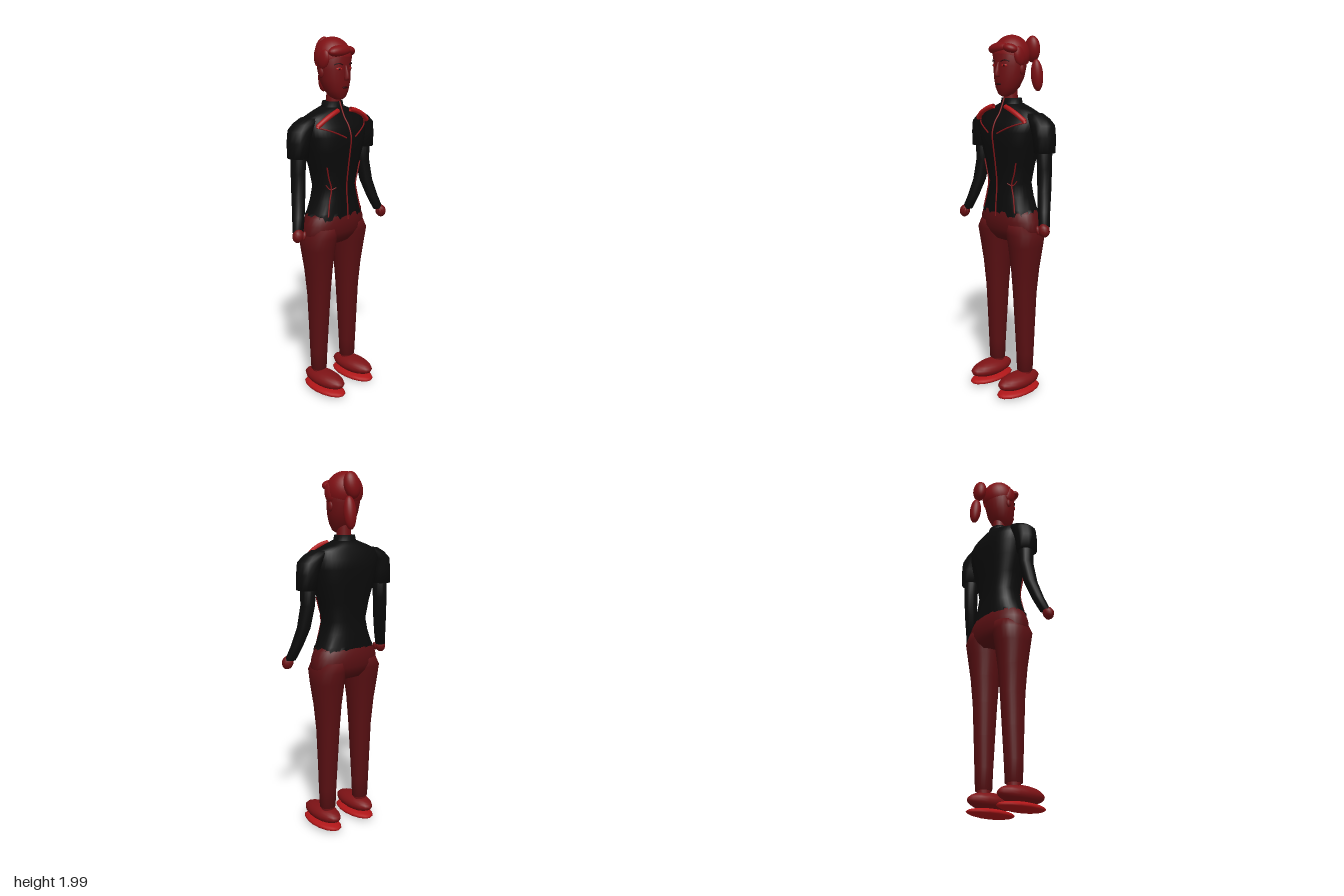
import * as THREE from 'three';

const mat = (name, color) => {
  const m = new THREE.MeshStandardMaterial({ color, side: THREE.DoubleSide });
  m.name = name;
  return m;
};

// Lofted body from horizontal rings, bottom to top: [y, cx, cz, rx, rz]
function loft(rings, { n = 24, p = 2, hem = null } = {}) {
  const pos = [], idx = [];
  const pw = (v) => Math.sign(v) * Math.abs(v) ** (2 / p);
  rings.forEach(([y, cx, cz, rx, rz], i) => {
    for (let j = 0; j < n; j++) {
      const a = (j / n) * Math.PI * 2;
      const yy = i === 0 && hem ? hem(j) : y;
      pos.push(cx + rx * pw(Math.cos(a)), yy, cz + rz * pw(Math.sin(a)));
    }
  });
  for (let i = 0; i < rings.length - 1; i++) {
    for (let j = 0; j < n; j++) {
      const a = i * n + j, b = i * n + ((j + 1) % n), c = a + n, d = b + n;
      idx.push(a, c, b, b, c, d);
    }
  }
  const top = (rings.length - 1) * n;
  const cap = ([y, cx, cz], base, up) => {
    const k = pos.length / 3;
    pos.push(cx, y, cz);
    for (let j = 0; j < n; j++) {
      const a = base + j, b = base + ((j + 1) % n);
      if (up) idx.push(k, b, a); else idx.push(k, a, b);
    }
  };
  if (!hem) cap(rings[0], 0, false);
  cap(rings[rings.length - 1], top, true);
  const g = new THREE.BufferGeometry();
  g.setAttribute('position', new THREE.Float32BufferAttribute(pos, 3));
  g.setIndex(idx);
  g.computeVertexNormals();
  return g;
}

const ellipsoid = (rx, ry, rz, w = 24, h = 16) => new THREE.SphereGeometry(1, w, h).scale(rx, ry, rz);

function tube(points, r, seg = 24) {
  const curve = new THREE.CatmullRomCurve3(points.map((q) => new THREE.Vector3(...q)));
  return new THREE.TubeGeometry(curve, seg, r, 8);
}

// Jacket rings: height, half width, front z, back z
const TORSO = [
  [1.03, 0.182, 0.092, -0.118], [1.085, 0.168, 0.09, -0.116], [1.15, 0.142, 0.084, -0.11],
  [1.22, 0.126, 0.08, -0.105], [1.32, 0.148, 0.09, -0.115], [1.42, 0.18, 0.104, -0.13],
  [1.5, 0.196, 0.112, -0.136], [1.55, 0.202, 0.092, -0.132], [1.595, 0.19, 0.06, -0.11],
  [1.62, 0.13, 0.048, -0.098], [1.643, 0.065, 0.038, -0.082],
].map(([y, rx, f, b]) => [y, 0, (f + b) / 2, rx, (f - b) / 2]);
const TORSO_POWER = 2.5;

// Front surface of the jacket at (x, y)
function onFront(x, y, lift = 0.004) {
  let i = 0;
  while (i < TORSO.length - 2 && TORSO[i + 1][0] < y) i++;
  const A = TORSO[i], B = TORSO[i + 1];
  const t = THREE.MathUtils.clamp((y - A[0]) / (B[0] - A[0]), 0, 1);
  const [, , cz, rx, rz] = A.map((v, k) => v + (B[k] - v) * t);
  const u = Math.min(1, Math.abs(x) / rx);
  return [x, y, cz + rz * (1 - u ** TORSO_POWER) ** (1 / TORSO_POWER) + lift];
}

export function createModel() {
  const black = mat('jacketBlack', 0x0b0b0b);
  const trouserRed = mat('trouserRed', 0x580f12);
  const skinRed = mat('skinRed', 0x6e1013);
  const hairRed = mat('hairRed', 0x7e1014);
  const shoeRed = mat('shoeRed', 0x7c1215);
  const brightRed = mat('brightRed', 0xb01618);
  const pipingRed = mat('pipingRed', 0x7d1216);
  const darkRed = mat('featureDark', 0x2c0608);

  const model = new THREE.Group();
  const add = (name, geo, material, x = 0, y = 0, z = 0, rot = [0, 0, 0]) => {
    const m = new THREE.Mesh(geo, material);
    m.name = name;
    m.position.set(x, y, z);
    m.rotation.set(...rot);
    model.add(m);
    return m;
  };

  // Jacket with a stepped hem, collar and front zip
  add('jacketBody', loft(TORSO, { n: 40, p: TORSO_POWER, hem: (j) => ((j >> 1) % 2 ? 1.025 : 1.07) }), black);
  add('collar', loft([[1.61, 0, -0.022, 0.07, 0.062], [1.645, 0, -0.022, 0.064, 0.056], [1.672, 0, -0.022, 0.058, 0.05]]), black);
  const zip = [1.04, 1.12, 1.22, 1.32, 1.42, 1.49, 1.55, 1.595, 1.64].map((y) => onFront(0, y, 0.005));
  add('zip', tube([...zip, [0, 1.672, 0.032]], 0.004, 48), pipingRed);

  // Trousers: seat
  add('trouserSeat', loft([
    [0.9, 0, -0.02, 0.12, 0.07], [0.935, 0, -0.02, 0.195, 0.098], [0.97, 0, -0.018, 0.212, 0.113],
    [1.02, 0, -0.017, 0.203, 0.115], [1.06, 0, -0.015, 0.186, 0.106], [1.1, 0, -0.013, 0.155, 0.09],
  ], { n: 32, p: 2.2 }), trouserRed);

  for (const s of [1, -1]) {
    const side = s > 0 ? 'left' : 'right';

    // Legs and shoes
    add(side + 'TrouserLeg', loft([
      [0.14, s * 0.12, -0.018, 0.045, 0.042], [0.25, s * 0.12, -0.018, 0.049, 0.047],
      [0.42, s * 0.118, -0.018, 0.054, 0.057], [0.6, s * 0.116, -0.018, 0.061, 0.067],
      [0.75, s * 0.118, -0.018, 0.073, 0.08], [0.88, s * 0.12, -0.018, 0.091, 0.097],
      [0.95, s * 0.119, -0.018, 0.096, 0.111], [1.0, s * 0.1, -0.018, 0.09, 0.105],
    ], { p: 2.2 }), trouserRed);
    add(side + 'Ankle', new THREE.CylinderGeometry(0.036, 0.036, 0.09, 16), skinRed, s * 0.12, 0.12, -0.018);
    add(side + 'Shoe', ellipsoid(0.067, 0.047, 0.145, 16, 12), shoeRed, s * 0.12, 0.088, 0.029);
    add(side + 'Sole', ellipsoid(0.072, 0.024, 0.15, 16, 10), brightRed, s * 0.12, 0.029, 0.03);

    // Cap sleeve over a slim sleeve
    add(side + 'ShoulderSleeve', loft([
      [1.4, s * 0.254, -0.025, 0.056, 0.058], [1.48, s * 0.25, -0.025, 0.057, 0.064],
      [1.54, s * 0.235, -0.025, 0.066, 0.066], [1.572, s * 0.205, -0.025, 0.063, 0.058],
      [1.598, s * 0.17, -0.025, 0.05, 0.045],
    ], { n: 14 }), black);
    add(side + 'Sleeve', loft([
      [1.025, s * 0.322, 0.038, 0.03, 0.028], [1.1, s * 0.295, 0.015, 0.033, 0.032],
      [1.2, s * 0.268, -0.012, 0.036, 0.037], [1.32, s * 0.252, -0.028, 0.037, 0.041],
      [1.45, s * 0.248, -0.025, 0.042, 0.046],
    ], { n: 16 }), black);
    add(side + 'Hand', ellipsoid(0.031, 0.037, 0.03, 10, 8), skinRed, s * 0.332, 1.01, 0.05, [0, 0, s * 0.3]);
    add(side + 'Thumb', ellipsoid(0.012, 0.025, 0.013, 8, 6), skinRed, s * 0.308, 1.008, 0.068, [0, 0, s * 0.3]);

    // Shoulder bar, chest piping and waist seam
    add(side + 'ShoulderBar', tube([
      [s * 0.048, 1.63, 0.064], [s * 0.085, 1.62, 0.07], [s * 0.14, 1.595, 0.068], [s * 0.19, 1.56, 0.056],
    ], 0.013), brightRed);
    add(side + 'ChestPiping', tube([
      [0.185, 1.555], [0.14, 1.54], [0.085, 1.517], [0.035, 1.492],
    ].map(([x, y]) => onFront(s * x, y)), 0.004), pipingRed);
    add(side + 'WaistSeam', tube([
      [0.128, 1.34], [0.113, 1.28], [0.095, 1.22], [0.11, 1.15], [0.128, 1.07],
    ].map(([x, y]) => onFront(s * x, y)), 0.004), pipingRed);
    add(side + 'WaistDart', tube([
      [0.118, 1.24], [0.1, 1.215], [0.072, 1.225],
    ].map(([x, y]) => onFront(s * x, y)), 0.003, 12), pipingRed);

    // Eyes, brows, ears and side hair
    add(side + 'Eye', ellipsoid(0.017, 0.007, 0.004, 12, 8), brightRed, s * 0.043, 1.842, 0.068, [0, s * 0.5, 0]);
    add(side + 'Pupil', ellipsoid(0.006, 0.006, 0.004, 10, 8), darkRed, s * 0.043, 1.842, 0.07, [0, s * 0.5, 0]);
    add(side + 'Brow', tube([[s * 0.024, 1.862, 0.077], [s * 0.045, 1.87, 0.069], [s * 0.066, 1.863, 0.053]], 0.003, 8), darkRed);
    add(side + 'Ear', ellipsoid(0.01, 0.026, 0.016, 10, 8), skinRed, s * 0.09, 1.82, -0.015);
    add(side + 'SideHair', ellipsoid(0.02, 0.052, 0.036, 16, 12), hairRed, s * 0.084, 1.888, -0.002, [0.3, 0, 0]);
  }

  // Neck and head
  add('neck', new THREE.CylinderGeometry(0.036, 0.04, 0.12, 20), skinRed, 0, 1.69, -0.015);
  add('head', loft([
    [1.682, 0, 0.025, 0.018, 0.02], [1.695, 0, 0.018, 0.042, 0.042], [1.73, 0, 0.007, 0.066, 0.063],
    [1.78, 0, -0.003, 0.084, 0.078], [1.84, 0, -0.01, 0.092, 0.085], [1.9, 0, -0.012, 0.092, 0.086],
    [1.95, 0, -0.014, 0.074, 0.072], [1.98, 0, -0.014, 0.03, 0.035],
  ]), skinRed);
  add('nose', loft([
    [1.783, 0, 0.078, 0.012, 0.01], [1.795, 0, 0.083, 0.014, 0.018], [1.82, 0, 0.078, 0.009, 0.014],
    [1.858, 0, 0.072, 0.005, 0.006],
  ], { n: 10 }), skinRed);
  add('mouth', ellipsoid(0.02, 0.006, 0.007, 12, 8), darkRed, 0, 1.747, 0.07);

  // Hair cap, fringe, and ponytail in two lobes
  add('hairCap', new THREE.SphereGeometry(1, 28, 14, 0, Math.PI * 2, 0, Math.PI * 0.56).scale(0.1, 0.106, 0.098), hairRed, 0, 1.894, -0.018, [-0.3, 0, 0]);
  add('fringe', ellipsoid(0.076, 0.03, 0.036), hairRed, -0.02, 1.93, 0.05, [0.15, 0, 0.08]);
  add('fringeSweep', ellipsoid(0.042, 0.024, 0.034), hairRed, 0.058, 1.928, 0.04, [0, 0.5, -0.25]);
  add('ponytailKnot', ellipsoid(0.046, 0.07, 0.037), hairRed, 0.042, 1.927, -0.133, [0.12, 0, -0.15]);
  add('ponytail', ellipsoid(0.034, 0.085, 0.032), hairRed, 0.066, 1.79, -0.146, [0.1, 0, 0]);

  return model;
}
